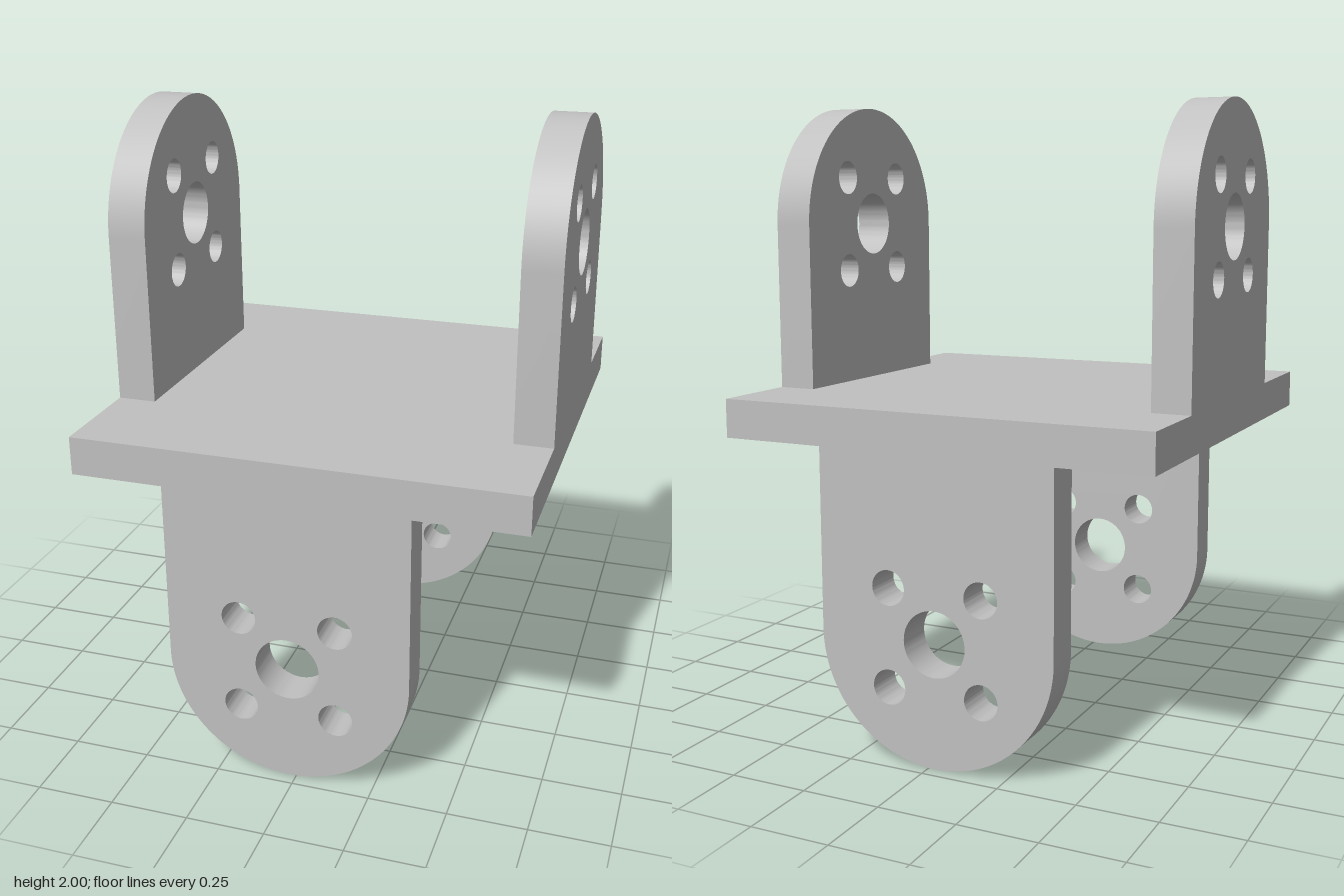
import * as THREE from 'three';
import { toCreasedNormals } from 'three/addons/utils/BufferGeometryUtils.js';

const HALF = 0.709;            // half width of the square plate
const THICK = 0.123;           // thickness of plate and lugs
const PLATE_BOTTOM = 0.957;
const PLATE_TOP = PLATE_BOTTOM + THICK;
const RADIUS = 0.389;          // rounded end of each lug
const OFFSET = -0.023;         // lugs sit slightly off centre

// Round-ended lug, pivot hole at the origin, straight base at y = -length
function lugGeometry(length) {
  const shape = new THREE.Shape();
  shape.moveTo(-RADIUS, -length);
  shape.lineTo(RADIUS, -length);
  shape.lineTo(RADIUS, 0);
  shape.absarc(0, 0, RADIUS, 0, Math.PI, false);
  shape.closePath();

  const addHole = (x, y, r) => {
    const hole = new THREE.Path();
    hole.absarc(x, y, r, 0, Math.PI * 2, true);
    shape.holes.push(hole);
  };
  addHole(0, 0, 0.103);
  for (const x of [-0.155, 0.155]) {
    for (const y of [-0.155, 0.155]) addHole(x, y, 0.055);
  }

  const geometry = new THREE.ExtrudeGeometry(shape, { depth: THICK, bevelEnabled: false, curveSegments: 40 });
  geometry.translate(0, 0, -THICK / 2);
  return toCreasedNormals(geometry, Math.PI / 6);
}

export function createModel() {
  const group = new THREE.Group();
  group.name = 'doubleYokeBracket';
  const metal = new THREE.MeshStandardMaterial({ color: 0xc0c0c0 });
  metal.name = 'light grey metal';

  const add = (name, geometry, x, y, z) => {
    const mesh = new THREE.Mesh(geometry, metal);
    mesh.name = name;
    mesh.position.set(x, y, z);
    group.add(mesh);
  };

  // Square centre plate
  add('plate', new THREE.BoxGeometry(2 * HALF, THICK, 2 * HALF), 0, (PLATE_BOTTOM + PLATE_TOP) / 2, 0);

  // Upper pair faces sideways, lower pair faces front and back
  const upperY = 2 - RADIUS;
  const upper = lugGeometry(upperY - PLATE_TOP).rotateY(Math.PI / 2);
  const lower = lugGeometry(PLATE_BOTTOM - RADIUS).rotateZ(Math.PI);
  const reach = HALF - THICK / 2;
  add('leftUpperLug', upper, reach, upperY, OFFSET);
  add('rightUpperLug', upper, -reach, upperY, OFFSET);
  add('frontLowerLug', lower, OFFSET, RADIUS, reach);
  add('backLowerLug', lower, OFFSET, RADIUS, -reach);

  return group;
}
